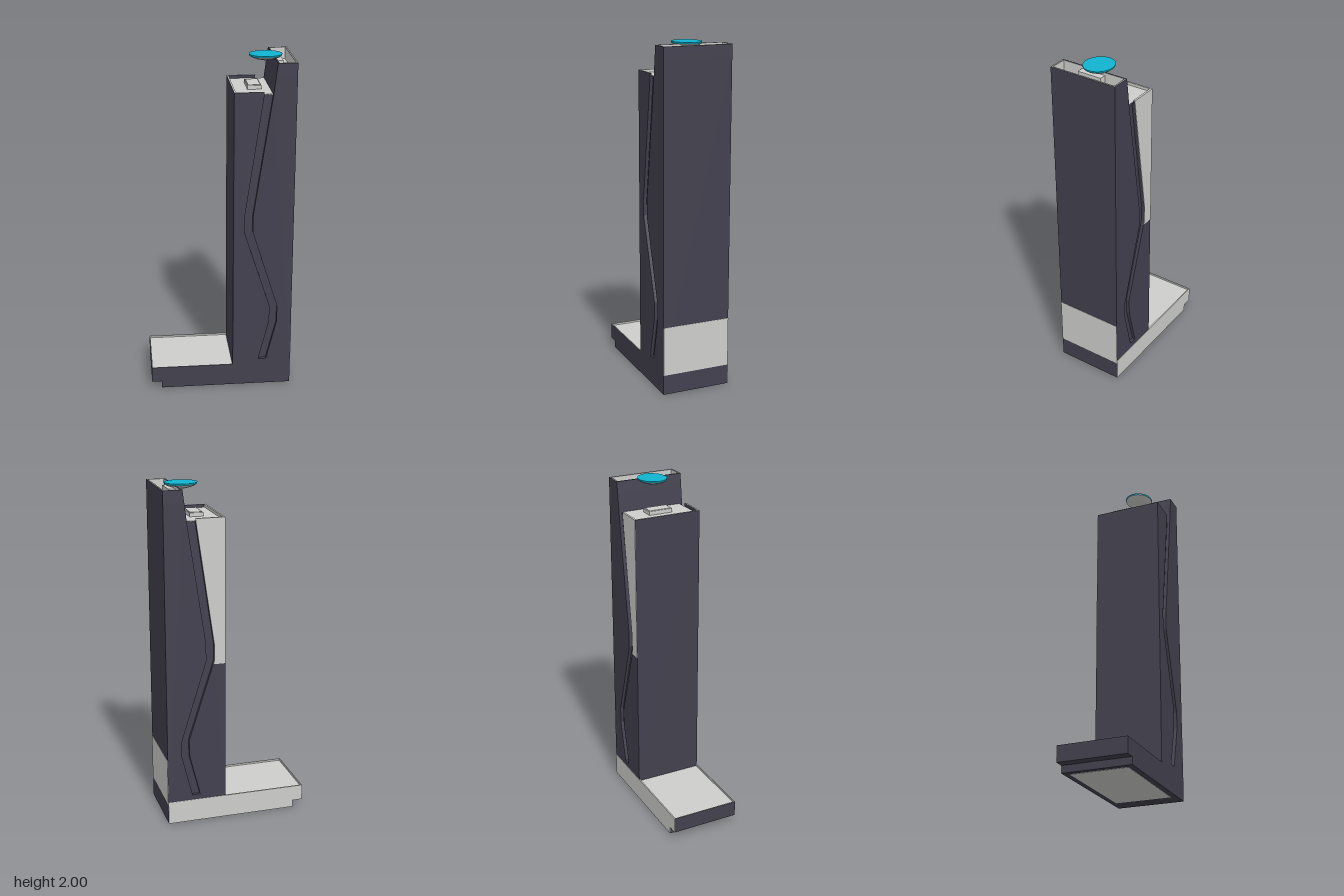
import * as THREE from 'three';

export function createModel() {
  const group = new THREE.Group();
  const mat = (name, color) => {
    const m = new THREE.MeshStandardMaterial({ color });
    m.name = name;
    return m;
  };
  const dark = mat('dark cladding', 0x42404e);
  const light = mat('light concrete', 0xcdcdcb);
  const grey = mat('grey coping', 0x949494);
  const cyan = mat('cyan deck', 0x10b4d0);

  const add = (name, geometry, material) => {
    const mesh = new THREE.Mesh(geometry, material);
    mesh.name = name;
    group.add(mesh);
    return mesh;
  };
  // Box given by its limits; material may list faces +x -x +y -y +z -z
  const box = (name, [x0, x1], [y0, y1], [z0, z1], material) => {
    const g = new THREE.BoxGeometry(x1 - x0, y1 - y0, z1 - z0);
    g.translate((x0 + x1) / 2, (y0 + y1) / 2, (z0 + z1) / 2);
    return add(name, g, material);
  };
  // Outline in x,y pulled through z
  const prism = (name, points, z0, z1, material) => {
    const shape = new THREE.Shape(points.map(([x, y]) => new THREE.Vector2(x, y)));
    const g = new THREE.ExtrudeGeometry(shape, { depth: z1 - z0, bevelEnabled: false });
    g.translate(0, 0, z0);
    return add(name, g, material);
  };

  const Z = 0.204, IN = 0.194, LEFT = 0.07, RIGHT = 0.42;
  const roof = 1.812, slabTop = 1.83, finRoof = 1.92, finTop = 1.99, deck = 0.128, podiumTop = 0.14;

  // Zigzag channel edges, from the foot up to the roof
  const edgeA = [[0.225, 0.17], [0.287, 0.42], [0.29, 0.52], [0.135, 1.0], [0.135, 1.1], [0.237, roof]];
  const edgeB = [[0.272, 0.17], [0.333, 0.42], [0.333, 0.52], [0.183, 1.0], [0.183, 1.1], [0.288, roof]];

  // Podium with stepped end
  prism('podium', [[-0.36, 0.002], [RIGHT, 0.002], [RIGHT, deck], [-0.42, deck], [-0.42, 0.045], [-0.36, 0.045]], -Z, Z, dark);
  box('podiumDeck', [-0.415, LEFT], [deck - 0.002, deck + 0.001], [-Z + 0.005, Z - 0.005], light);
  box('podiumEndParapet', [-0.42, -0.414], [deck, podiumTop], [-Z, Z], [light, dark, light, dark, dark, light]);
  for (const s of [-1, 1]) {
    const z = [s * Z, s * (Z - 0.006)].sort((a, b) => a - b);
    box('podiumSideParapet', [-0.42, LEFT], [deck, podiumTop], z,
      [dark, dark, light, dark, s > 0 ? dark : light, light]);
  }
  box('podiumUnderside', [-0.33, 0.3], [0, 0.004], [-0.17, 0.17], light);
  prism('podiumBackPanel', [[-0.36, 0.002], [RIGHT, 0.002], [RIGHT, podiumTop], [-0.42, podiumTop], [-0.42, 0.045], [-0.36, 0.045]],
    -Z - 0.002, -Z, light);

  // Tower: foot, two halves and the recessed channel between them
  box('towerFoot', [LEFT, RIGHT], [deck, 0.17], [-Z, Z], dark);
  prism('lowerSlab', [[LEFT, 0.17], ...edgeA, [LEFT, roof]], -Z, Z, dark);
  prism('tallFin', [...edgeB, [0.301, finRoof], [RIGHT, finRoof], [RIGHT, 0.17]].reverse(), -Z, Z, dark);
  prism('channelCore', [...edgeA, ...edgeB.slice().reverse()], -0.185, 0.185, dark);

  // Light cladding panels
  box('sideBand', [RIGHT, RIGHT + 0.002], [0.12, 0.41], [-Z, Z], light);
  prism('backSlabPanel', [[LEFT, 0.98], [0.141, 0.98], [0.135, 1.0], [0.135, 1.1], [0.239, slabTop], [LEFT, slabTop]],
    -Z - 0.002, -Z, light);

  // Slab roof and parapet
  box('slabRoof', [0.08, 0.288], [roof - 0.002, roof + 0.002], [-0.185, 0.185], light);
  box('slabEndParapet', [LEFT, 0.08], [roof, slabTop], [-Z, Z], [light, dark, light, dark, dark, light]);
  for (const s of [-1, 1]) {
    const z = [s * Z, s * IN].sort((a, b) => a - b);
    box('slabSideParapet', [0.08, 0.237], [roof, slabTop], z, [dark, dark, light, dark, dark, dark]);
    box('finSideParapet', [0.317, RIGHT], [finRoof, finTop], z,
      s > 0 ? [dark, light, grey, dark, dark, light] : [dark, light, grey, dark, light, dark]);
  }
  box('roofHatch', [0.158, 0.237], [roof, 1.836], [-0.073, 0.073], light);
  box('roofHatchCap', [0.163, 0.232], [1.836, 1.839], [-0.068, 0.068], light);

  // Fin roof well
  box('finRoof', [0.317, 0.411], [finRoof - 0.002, finRoof + 0.002], [-IN, IN], light);
  prism('finInnerParapet', [[0.301, finRoof], [0.317, finRoof], [0.317, finTop], [0.31, finTop]], -Z, Z, dark);
  box('finInnerLining', [0.317, 0.319], [finRoof, finTop], [-IN, IN], light);
  box('finOuterParapet', [0.41, RIGHT], [finRoof, finTop], [-Z, Z], [dark, light, grey, dark, dark, dark]);

  // Landing pad: flat deck on a shallow bowl, held by a pedestal
  box('padPedestal', [0.318, 0.358], [finRoof, 1.975], [-0.073, 0.073], light);
  const lathe = (name, pts, material) => {
    const g = new THREE.LatheGeometry(pts.map(([r, y]) => new THREE.Vector2(r, y)), 40);
    g.scale(0.094, 1, 0.084);
    g.translate(0.268, 0, 0);
    return add(name, g, material);
  };
  lathe('padBowl', [[0, 1.964], [0.3, 1.966], [0.6, 1.973], [0.85, 1.982], [0.98, 1.991]], light);
  const padDeck = new THREE.CylinderGeometry(1, 0.98, 0.009, 40);
  padDeck.scale(0.094, 1, 0.084);
  padDeck.translate(0.268, 1.9955, 0);
  add('padDeck', padDeck, cyan);

  return group;
}
